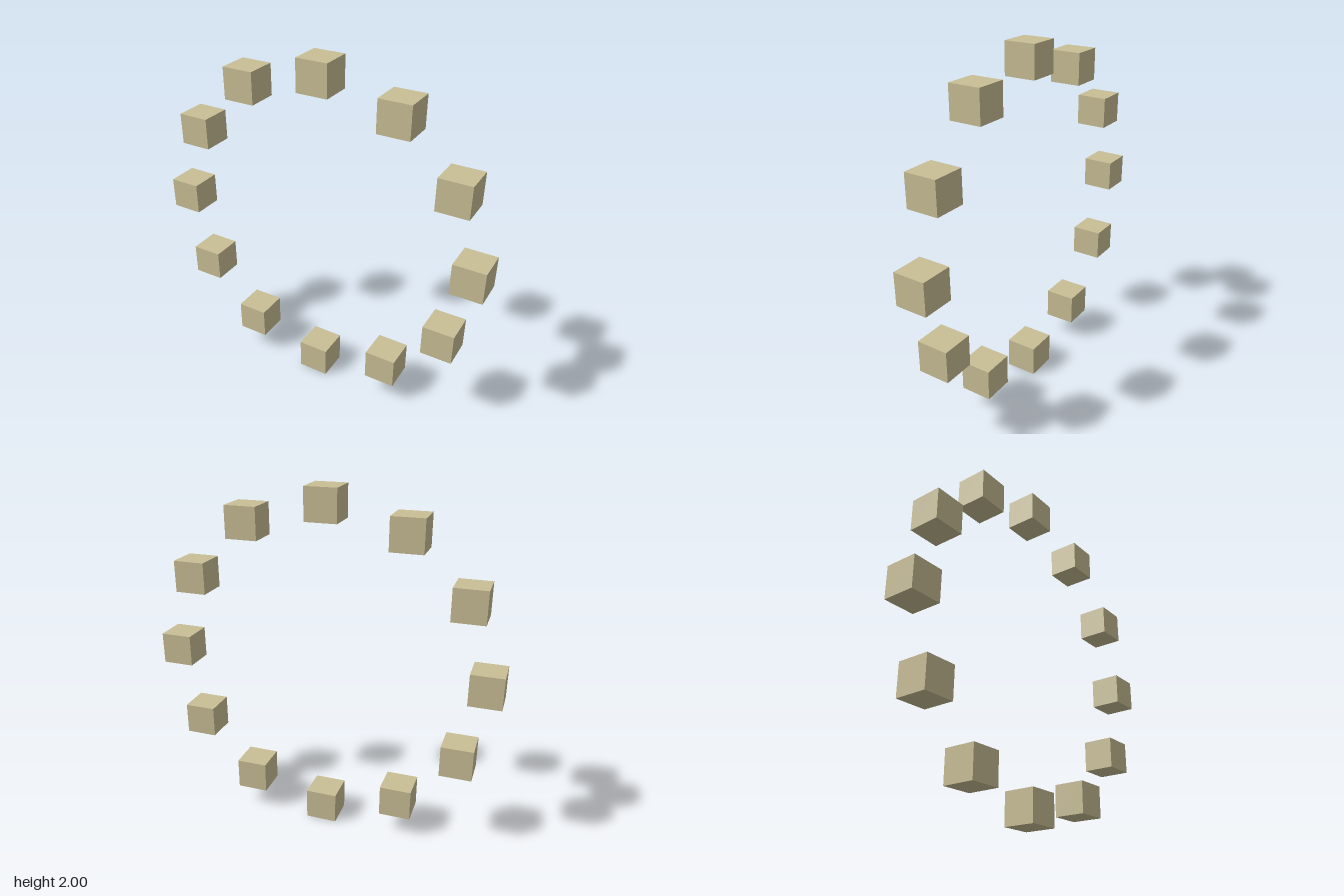
import * as THREE from 'three';

const COUNT = 12;
const SIZE = 2 / 11; // cube edge
const RADIUS = 1 - SIZE / 2; // ring radius to cube centres

export function createModel() {
  const model = new THREE.Group();
  model.name = 'cubeRing';

  const sand = new THREE.MeshStandardMaterial({ color: 0xc8be94 });
  sand.name = 'sand';
  const cube = new THREE.BoxGeometry(SIZE, SIZE, SIZE);

  // Upright ring of axis-aligned cubes, like the hours of a clock
  for (let i = 0; i < COUNT; i++) {
    const angle = (i / COUNT) * Math.PI * 2;
    const mesh = new THREE.Mesh(cube, sand);
    mesh.name = `cube${i + 1}`;
    mesh.position.set(RADIUS * Math.sin(angle), 1 + RADIUS * Math.cos(angle), 0);
    model.add(mesh);
  }
  return model;
}
